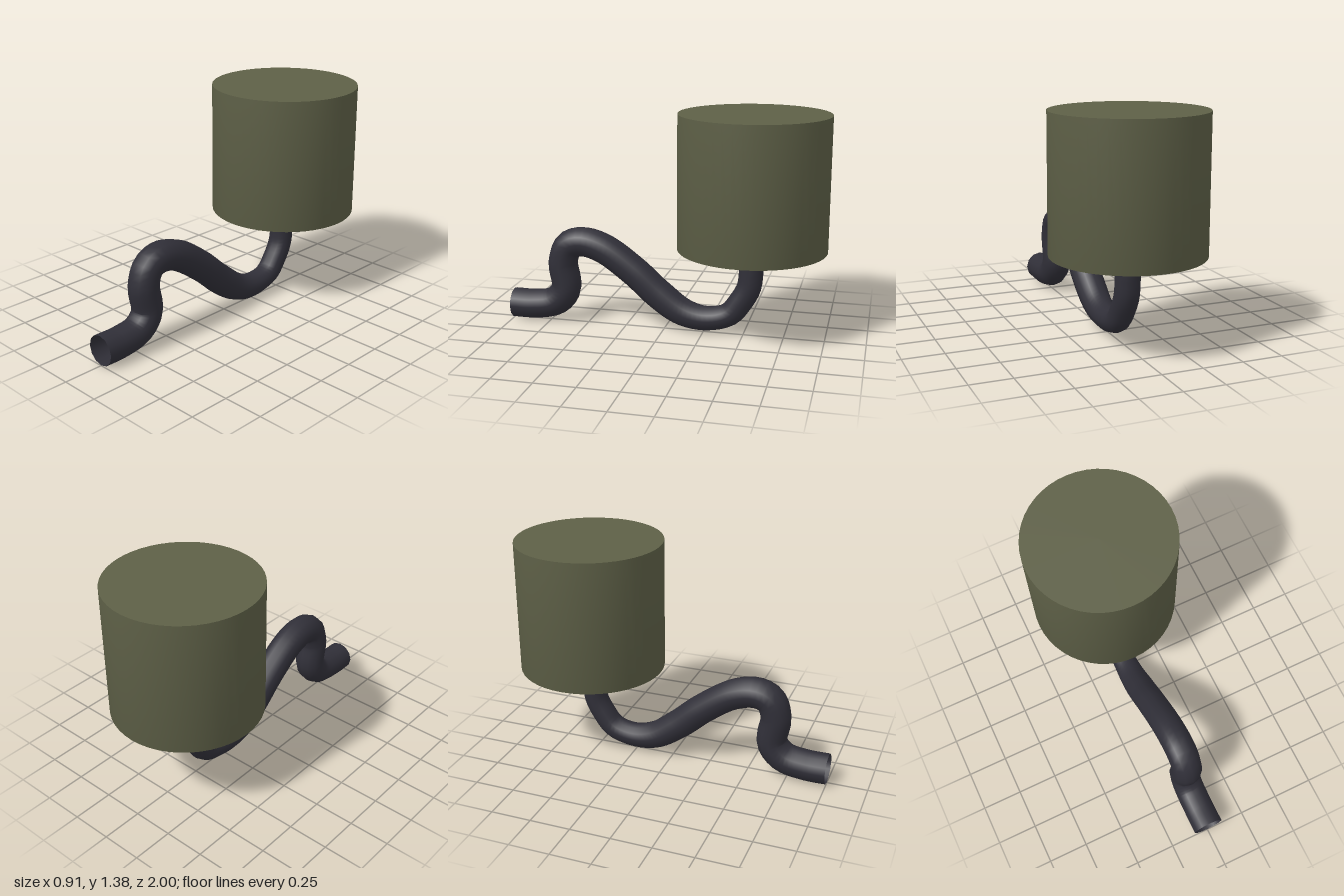
import * as THREE from 'three';

const olive = new THREE.MeshStandardMaterial({ color: 0x5e6047 });
olive.name = 'olive';
const charcoal = new THREE.MeshStandardMaterial({ color: 0x302f38, side: THREE.DoubleSide });
charcoal.name = 'charcoal';

const TANK_Z = -0.545, TANK_R = 0.455, TANK_TOP = 1.385;

// Canister: side and shallow tapered underside share smooth normals, lid is sharp
function makeTank() {
  const tank = new THREE.Group();
  tank.name = 'tank';
  const profile = [[0, 0.525], [0.3, 0.528], [TANK_R, 0.565], [TANK_R, TANK_TOP]]
    .map(([r, y]) => new THREE.Vector2(r, y));
  const shell = new THREE.Mesh(new THREE.LatheGeometry(profile, 48), olive);
  shell.name = 'tankShell';
  const lid = new THREE.Mesh(new THREE.CircleGeometry(TANK_R, 48).rotateX(-Math.PI / 2), olive);
  lid.name = 'tankLid';
  lid.position.y = TANK_TOP;
  tank.add(shell, lid);
  tank.position.z = TANK_Z;
  return tank;
}

// Open-ended hose, slimmer past the middle towards the tank
function makeHose() {
  const path = new THREE.CatmullRomCurve3([
    [1, 0.105], [0.86, 0.106], [0.72, 0.135], [0.645, 0.225], [0.663, 0.40],
    [0.625, 0.505], [0.54, 0.54], [0.4, 0.508], [0.195, 0.37], [0.04, 0.235],
    [-0.12, 0.127], [-0.27, 0.098], [-0.41, 0.135], [-0.48, 0.22], [-0.53, 0.315],
    [-0.543, 0.42], [-0.543, 0.55],
  ].map(([z, y]) => new THREE.Vector3(0, y, z)));
  const rings = 72, sides = 12;
  const geometry = new THREE.TubeGeometry(path, rings, 0.095, sides, false);
  const position = geometry.attributes.position;
  const v = new THREE.Vector3();
  for (let i = 0; i <= rings; i++) {
    const centre = path.getPointAt(i / rings);
    const scale = 1 - 0.21 * THREE.MathUtils.smoothstep(-centre.z, -0.05, 0.35);
    for (let j = 0; j <= sides; j++) {
      const k = i * (sides + 1) + j;
      v.fromBufferAttribute(position, k).sub(centre).multiplyScalar(scale).add(centre);
      position.setXYZ(k, v.x, v.y, v.z);
    }
  }
  const hose = new THREE.Mesh(geometry, charcoal);
  hose.name = 'hose';
  return hose;
}

export function createModel() {
  const model = new THREE.Group();
  model.name = 'canisterWithHose';
  model.add(makeTank(), makeHose());
  return model;
}
